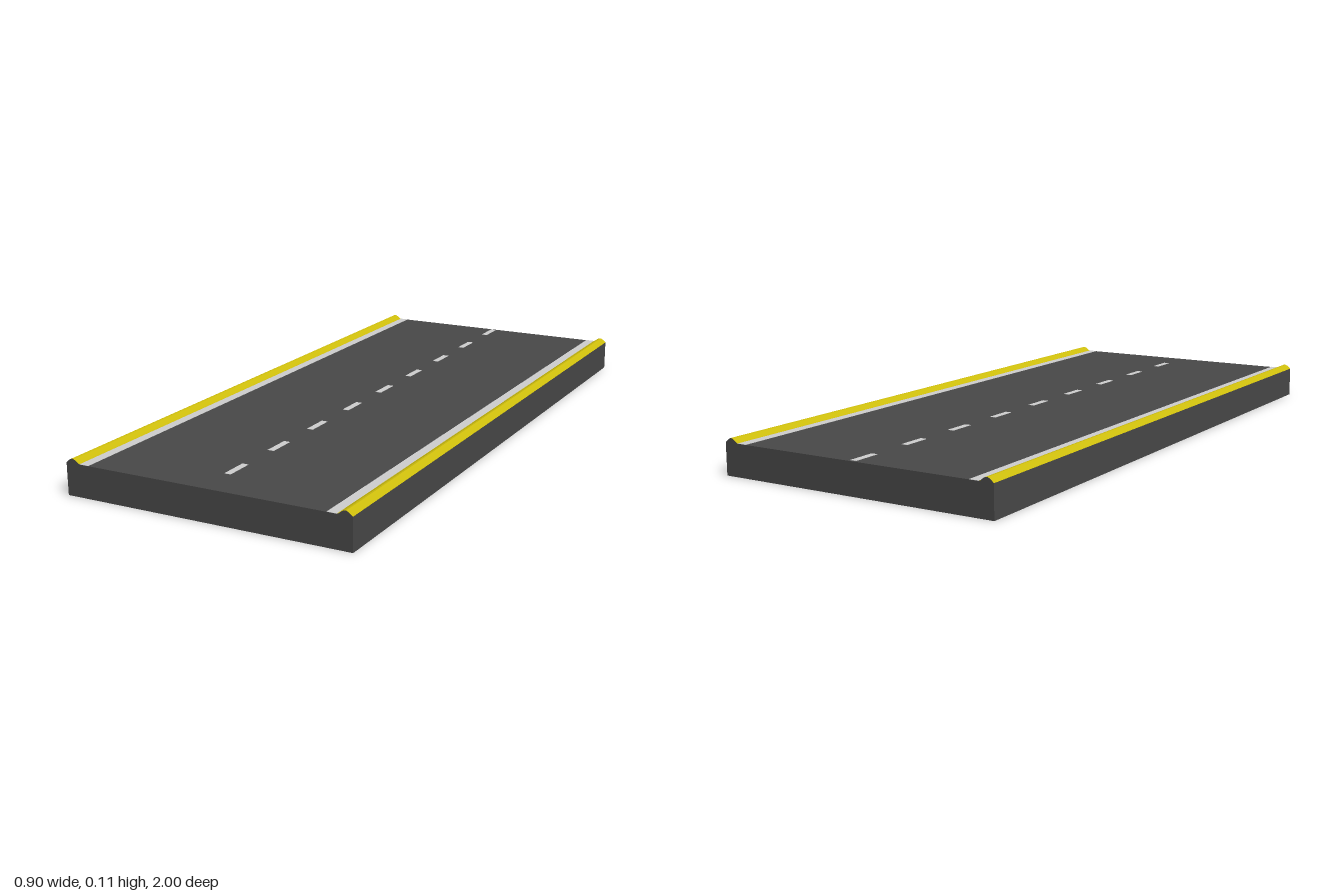
import * as THREE from 'three';

const asphalt = new THREE.MeshStandardMaterial({ name: 'asphalt grey', color: 0x484848 });
const yellow = new THREE.MeshStandardMaterial({ name: 'kerb yellow', color: 0xcdbd0c });
const white = new THREE.MeshStandardMaterial({ name: 'line white', color: 0xcfcfcf });

const LENGTH = 2;
const WIDTH = 0.9;
const TOP = 0.097;

export function createModel() {
  const group = new THREE.Group();

  const add = (name, geometry, material, x = 0, y = 0, z = 0) => {
    const mesh = new THREE.Mesh(geometry, material);
    mesh.name = name;
    mesh.position.set(x, y, z);
    group.add(mesh);
  };

  // Road slab
  add('roadSlab', new THREE.BoxGeometry(WIDTH, TOP, LENGTH), asphalt, 0, TOP / 2);

  // Rounded kerbs: painted along the top, bare at both ends
  const profile = [[0.402, 0], [0.409, 0.002], [0.418, 0.009], [0.424, 0.0125],
    [0.431, 0.0135], [0.438, 0.010], [0.45, 0]];
  for (const [side, label] of [[1, 'left'], [-1, 'right']]) {
    const shape = new THREE.Shape(profile.map(([x, y]) => new THREE.Vector2(side * x, y)));
    const kerb = new THREE.ExtrudeGeometry(shape, { depth: LENGTH, bevelEnabled: false });
    add(label + 'Kerb', kerb, [asphalt, yellow], 0, TOP, -LENGTH / 2);

    // Solid edge line beside the kerb
    add(label + 'EdgeLine', new THREE.BoxGeometry(0.03, 0.001, LENGTH), white, side * 0.39, TOP + 0.0003);
  }

  // Dashed centre line
  const dash = new THREE.BoxGeometry(0.02, 0.001, 0.09);
  for (let i = 0; i < 9; i++) {
    add('centreDash', dash, white, 0, TOP + 0.0003, -0.947 + i * 0.2225);
  }

  return group;
}
